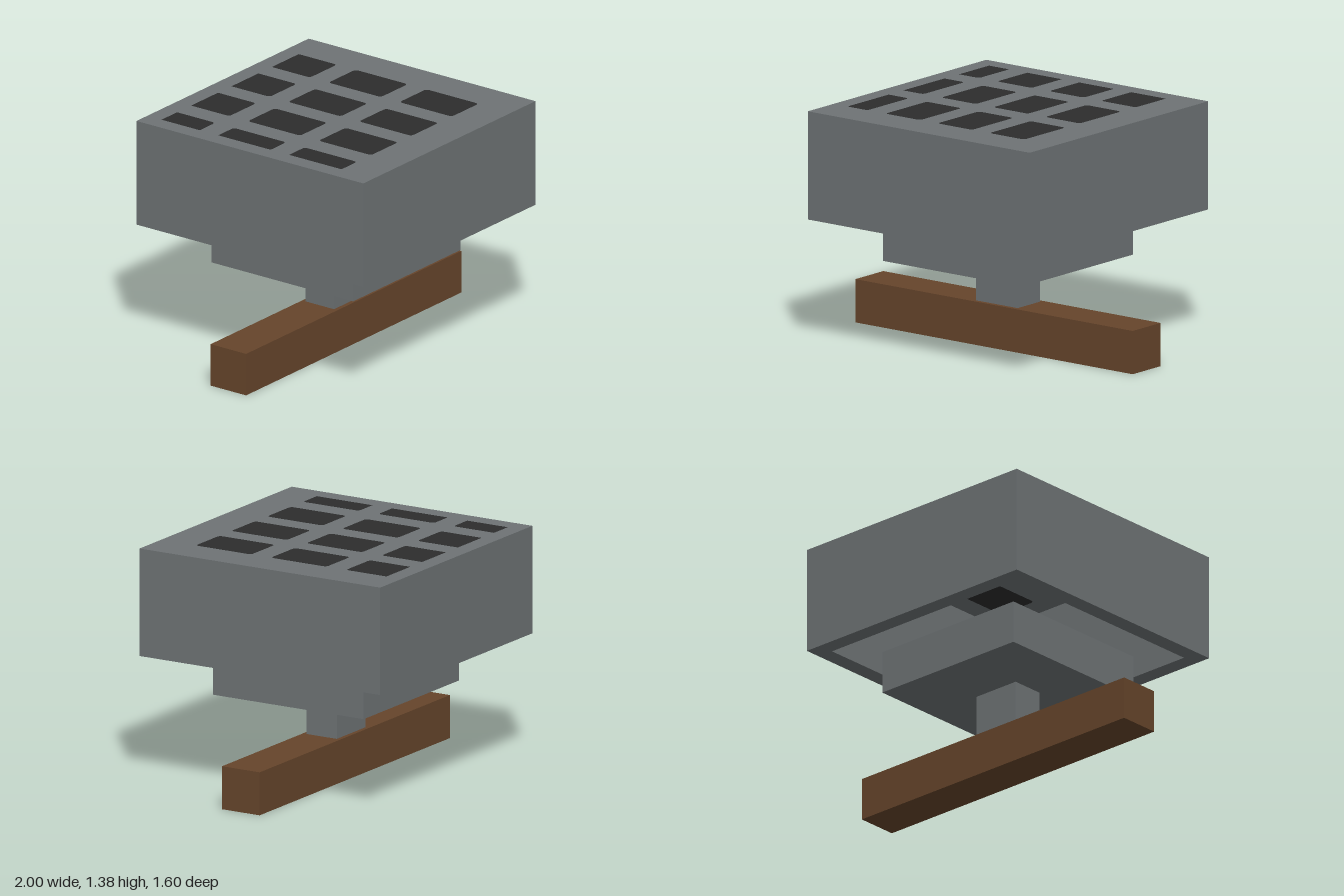
import * as THREE from 'three';

const OUTER = 0.8, INNER = 0.7, BOTTOM = 0.75, TOP = 1.375;

// Rectangle outline, each corner cut back by its own radius [x0z0, x1z0, x1z1, x0z1].
function outline(target, x0, x1, z0, z1, radii = [0, 0, 0, 0]) {
  const corners = [[x0, z0], [x1, z0], [x1, z1], [x0, z1]];
  const toward = (a, b, r) => {
    const len = Math.hypot(b[0] - a[0], b[1] - a[1]);
    return [a[0] + (b[0] - a[0]) * r / len, -(a[1] + (b[1] - a[1]) * r / len)];
  };
  corners.forEach((c, i) => {
    const prev = corners[(i + 3) % 4], next = corners[(i + 1) % 4];
    const start = toward(c, prev, radii[i]);
    if (i === 0) target.moveTo(...start); else target.lineTo(...start);
    if (radii[i] > 0) target.quadraticCurveTo(c[0], -c[1], ...toward(c, next, radii[i]));
  });
  target.closePath();
  return target;
}

export function createModel() {
  const model = new THREE.Group();
  model.name = 'sieveBlock';

  const grey = new THREE.MeshStandardMaterial({ color: 0x6e7375 });
  grey.name = 'greyMetal';
  grey.side = THREE.DoubleSide;
  const brown = new THREE.MeshStandardMaterial({ color: 0x66452b });
  brown.name = 'brownWood';
  const dark = new THREE.MeshStandardMaterial({ color: 0x2d2d2d });
  dark.name = 'darkOpening';
  dark.side = THREE.DoubleSide;

  const add = (name, geometry, material, y = 0) => {
    const mesh = new THREE.Mesh(geometry, material);
    mesh.name = name;
    mesh.position.y = y;
    model.add(mesh);
  };

  // Wooden beam, stem and stepped collar
  add('beam', new THREE.BoxGeometry(2, 0.25, 0.25), brown, 0.125);
  add('stem', new THREE.BoxGeometry(0.3, 0.25, 0.2), grey, 0.375);
  add('collar', new THREE.BoxGeometry(1, 0.25, 1), grey, 0.625);

  // Head: four walls, open underneath
  const wall = outline(new THREE.Shape(), -OUTER, OUTER, -OUTER, OUTER);
  wall.holes.push(outline(new THREE.Path(), -INNER, INNER, -INNER, INNER));
  const wallGeometry = new THREE.ExtrudeGeometry(wall, { depth: TOP - BOTTOM, bevelEnabled: false });
  add('headWalls', wallGeometry.rotateX(-Math.PI / 2), grey, BOTTOM);

  // Thin grille closing the head, its openings running out at the left and back edges
  const columns = [[-0.7, -0.555], [-0.425, -0.175], [-0.05, 0.2], [0.325, 0.575]];
  const rows = [[-0.7, -0.43], [-0.3, 0.07], [0.2, 0.57]];
  const inset = 0.0005;
  const grille = outline(new THREE.Shape(), -INNER, INNER, -INNER, INNER);
  const openings = [];
  const r = 0.025;
  columns.forEach(([x0, x1], c) => rows.forEach(([z0, z1], w) => {
    const radii = [c && w ? r : 0, w ? r : 0, r, c ? r : 0];
    const left = c ? x0 : x0 + inset, back = w ? z0 : z0 + inset;
    grille.holes.push(outline(new THREE.Path(), left, x1, back, z1, radii));
    openings.push(outline(new THREE.Shape(), left, x1, back, z1, radii));
  }));
  add('grille', new THREE.ShapeGeometry(grille).rotateX(-Math.PI / 2), grey, TOP);
  add('grilleOpenings', new THREE.ShapeGeometry(openings).rotateX(-Math.PI / 2), dark, TOP);

  return model;
}
